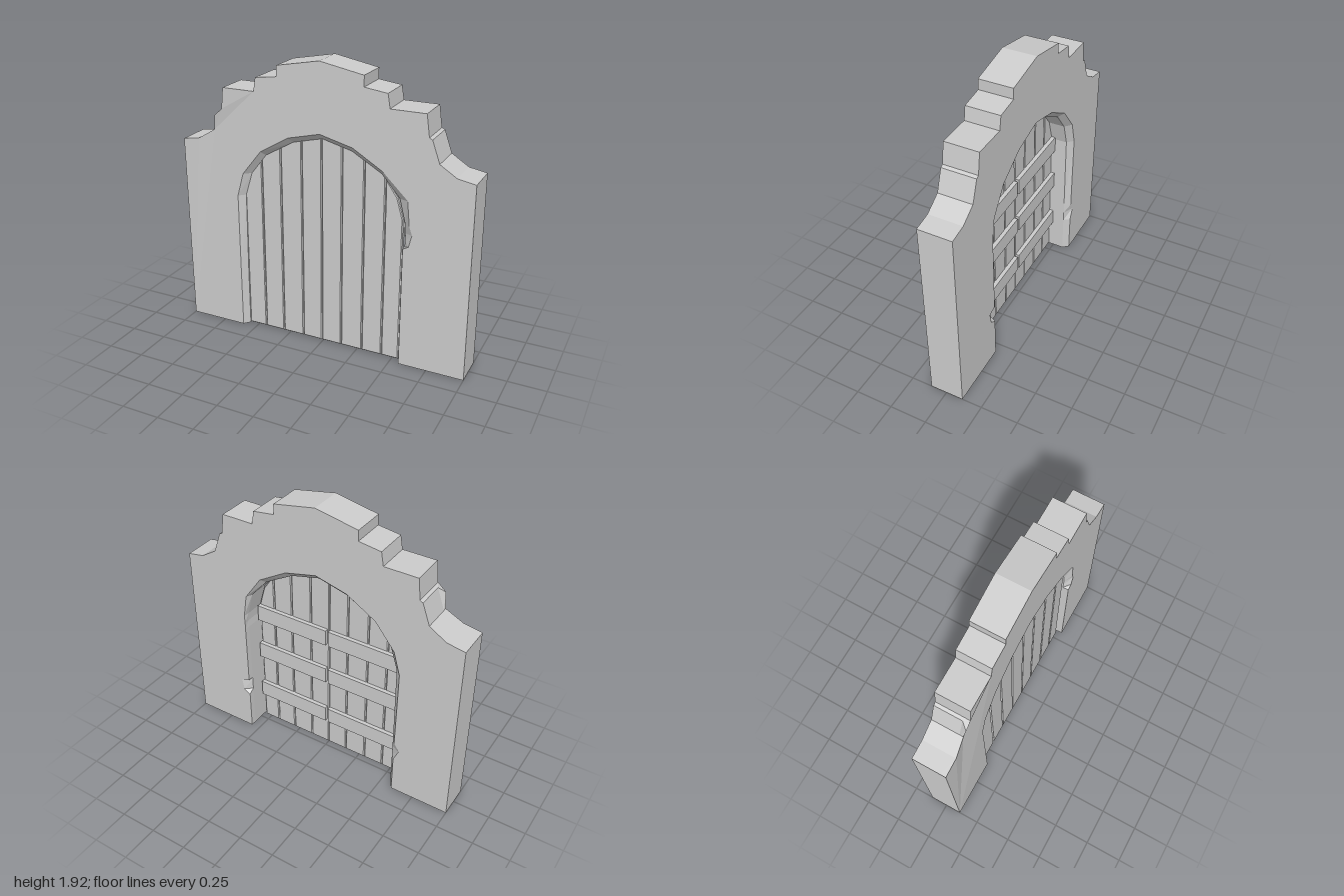
import * as THREE from 'three';

const material = new THREE.MeshStandardMaterial({ color: 0xcccccc, flatShading: true, side: THREE.DoubleSide });

// Stepped top of the wall, right to left: x, y, and optionally x, y on the front edge where it is chipped
const skyline = [
  [1, 0], [0.995, 1.31], [0.88, 1.33], [0.77, 1.4], [0.72, 1.54], [0.7, 1.55], [0.68, 1.69],
  [0.455, 1.69], [0.44, 1.78], [0.29, 1.8], [0.29, 1.87], [0, 1.925], [-0.29, 1.87], [-0.29, 1.8],
  [-0.44, 1.78], [-0.455, 1.69], [-0.68, 1.69], [-0.695, 1.55], [-0.715, 1.54, -0.75, 1.5],
  [-0.765, 1.4], [-0.88, 1.33], [-1, 1.31], [-1, 0],
];

// Doorway from left foot over the arch to right foot: front x, y, inner x, y, back x, y
const doorway = [
  [-0.6, 0, -0.565, 0, -0.595, 0],
  [-0.6, 0.27, -0.565, 0.27, -0.595, 0.27],
  [-0.6, 0.34, -0.565, 0.34, -0.63, 0.35],
  [-0.6, 0.41, -0.565, 0.41, -0.595, 0.41],
  [-0.6, 0.97, -0.56, 0.97, -0.6, 0.97],
  [-0.555, 1.13, -0.51, 1.13, -0.555, 1.13],
  [-0.42, 1.3, -0.4, 1.27, -0.42, 1.3],
  [-0.22, 1.42, -0.2, 1.385, -0.22, 1.42],
  [0, 1.475, 0, 1.435, 0, 1.475],
  [0.22, 1.42, 0.2, 1.385, 0.22, 1.42],
  [0.42, 1.3, 0.4, 1.27, 0.42, 1.3],
  [0.585, 1.14, 0.52, 1.13, 0.54, 1.13],
  [0.6, 0.98, 0.56, 0.97, 0.565, 0.97],
  [0.62, 0.92, 0.565, 0.91, 0.563, 0.91],
  [0.6, 0.84, 0.562, 0.86, 0.563, 0.86],
  [0.563, 0.82, 0.562, 0.82, 0.563, 0.82],
  [0.563, 0.42, 0.562, 0.42, 0.563, 0.42],
  [0.563, 0.4, 0.562, 0.4, 0.625, 0.4],
  [0.563, 0.32, 0.562, 0.32, 0.61, 0.32],
  [0.563, 0.29, 0.562, 0.29, 0.563, 0.29],
  [0.563, 0, 0.562, 0, 0.563, 0],
];

// Wall: four contours lofted from front to back, capped at both ends
function wallGeometry() {
  const layers = [[0.11, 0], [0.07, 2], [-0.075, 2], [-0.115, 4]].map(([z, k]) => [
    ...skyline.map((p) => (k === 0 && p.length > 2 ? [p[2], p[3], z] : [p[0], p[1], z])),
    ...doorway.map((p) => [p[k], p[k + 1], z]),
  ]);
  // worn hollow on the front left shoulder
  layers[0][19][2] = 0.095;

  const positions = [];
  const tri = (a, b, c) => positions.push(...a, ...b, ...c);
  const n = layers[0].length;
  for (let l = 0; l < 3; l++) {
    const a = layers[l], b = layers[l + 1];
    for (let i = 0; i < n; i++) {
      const j = (i + 1) % n;
      tri(a[i], b[i], b[j]);
      tri(a[i], b[j], a[j]);
    }
  }
  const cap = (layer, flip) => {
    const outline = layer.map((p) => new THREE.Vector2(p[0], p[1]));
    for (const [a, b, c] of THREE.ShapeUtils.triangulateShape(outline, [])) {
      if (flip) tri(layer[a], layer[c], layer[b]);
      else tri(layer[a], layer[b], layer[c]);
    }
  };
  cap(layers[0], false);
  cap(layers[3], true);

  const geometry = new THREE.BufferGeometry();
  geometry.setAttribute('position', new THREE.Float32BufferAttribute(positions, 3));
  geometry.computeVertexNormals();
  return geometry;
}

// Top edge of the door
const arch = [
  [-0.565, 0.97], [-0.515, 1.13], [-0.4, 1.275], [-0.2, 1.39], [0, 1.44],
  [0.2, 1.39], [0.4, 1.275], [0.5, 1.13], [0.545, 0.97],
];
function archHeight(x) {
  for (let i = 1; i < arch.length; i++) {
    const [x0, y0] = arch[i - 1], [x1, y1] = arch[i];
    if (x <= x1) return y0 + ((y1 - y0) * (x - x0)) / (x1 - x0);
  }
  return arch[arch.length - 1][1];
}

// Upright board between x0 and x1 with its top cut to the arch
function boardShape(x0, x1) {
  const top = [
    [x0, archHeight(x0)],
    ...arch.filter(([x]) => x > x0 + 0.001 && x < x1 - 0.001),
    [x1, archHeight(x1)],
  ];
  const points = [[x1, 0.012], [x0, 0.012], ...top];
  return new THREE.Shape(points.map(([x, y]) => new THREE.Vector2(x, y)));
}

export function createModel() {
  const model = new THREE.Group();
  model.name = 'archedGateway';
  const add = (parent, name, geometry, x = 0, y = 0, z = 0) => {
    const mesh = new THREE.Mesh(geometry, material);
    mesh.name = name;
    mesh.position.set(x, y, z);
    parent.add(mesh);
  };

  add(model, 'stoneWall', wallGeometry());

  const door = new THREE.Group();
  door.name = 'door';
  model.add(door);

  // Bevelled planks
  const seams = [-0.565, -0.435, -0.295, -0.145, -0.005, 0.135, 0.285, 0.425, 0.545];
  const bevel = 0.006;
  for (let i = 0; i < seams.length - 1; i++) {
    const geometry = new THREE.ExtrudeGeometry(boardShape(seams[i] + bevel + 0.001, seams[i + 1] - bevel - 0.001), {
      depth: 0.023, bevelEnabled: true, bevelSize: bevel, bevelThickness: bevel, bevelSegments: 1,
    });
    add(door, 'plank', geometry, 0, 0, 0.041);
  }
  // Thin core closing the grooves
  add(door, 'doorCore', new THREE.ExtrudeGeometry(boardShape(-0.56, 0.543), { depth: 0.01, bevelEnabled: false }), 0, 0, 0.048);

  // Cross bars on the back of both leaves
  for (const y of [0.275, 0.62, 0.93]) {
    for (const [x0, x1] of [[-0.56, -0.013], [0.007, 0.545]]) {
      add(door, 'crossBar', new THREE.BoxGeometry(x1 - x0, 0.115, 0.03), (x0 + x1) / 2, y, 0.023);
    }
  }
  return model;
}
